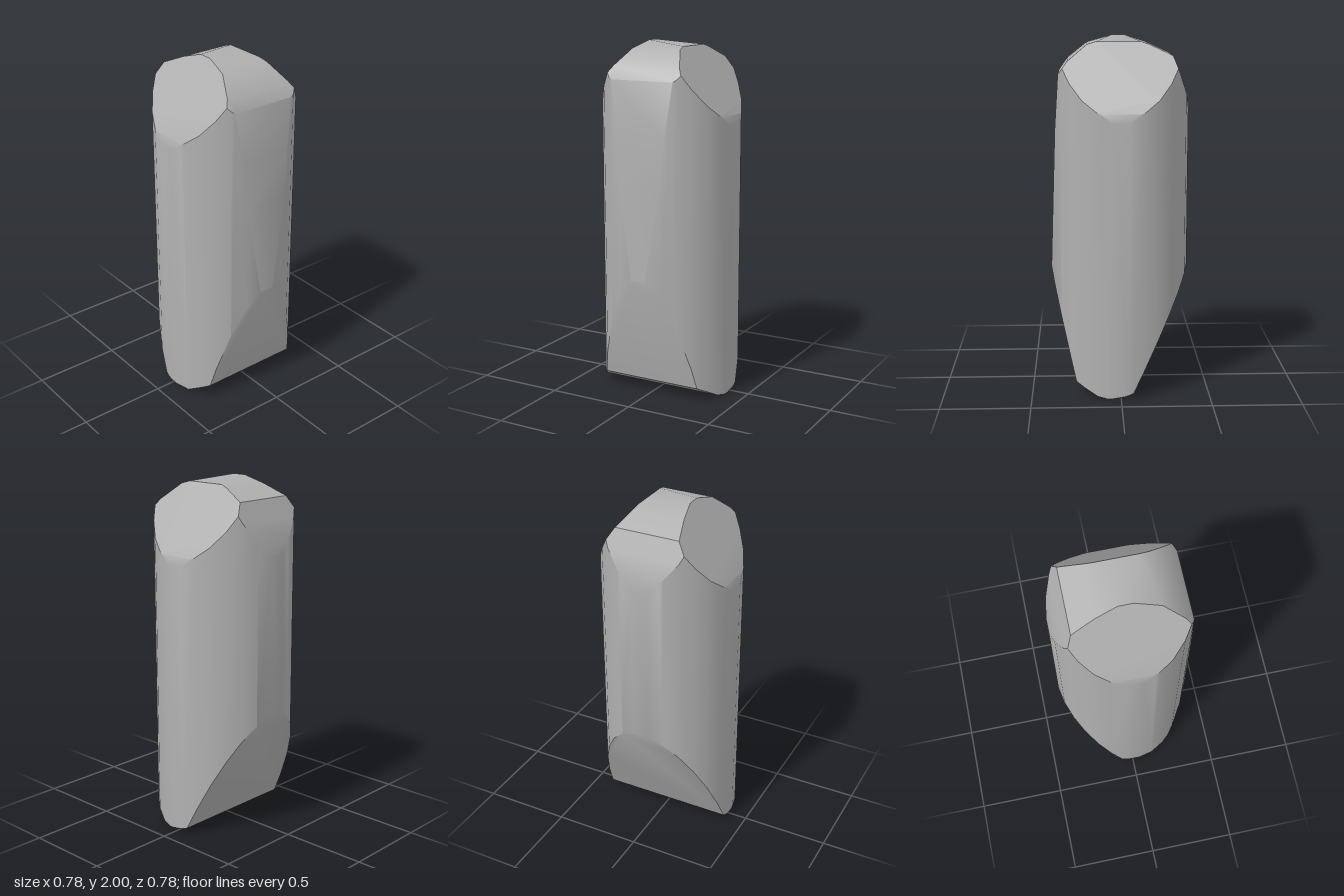
import * as THREE from 'three';
import { ConvexGeometry } from 'three/addons/geometries/ConvexGeometry.js';
import { toCreasedNormals } from 'three/addons/utils/BufferGeometryUtils.js';

// Half-spaces n.p <= d of a convex outline extruded along the remaining axis
function prismPlanes(outline, toVec) {
  const mid = outline.reduce((m, p) => [m[0] + p[0] / outline.length, m[1] + p[1] / outline.length], [0, 0]);
  return outline.map((a, i) => {
    const b = outline[(i + 1) % outline.length];
    let u = b[1] - a[1], v = a[0] - b[0];
    if (u * (a[0] - mid[0]) + v * (a[1] - mid[1]) < 0) { u = -u; v = -v; }
    const len = Math.hypot(u, v);
    return { n: toVec(u / len, v / len), d: (u * a[0] + v * a[1]) / len };
  });
}

// Corners of the solid enclosed by all half-spaces
function corners(planes) {
  const found = [];
  const bc = new THREE.Vector3(), ca = new THREE.Vector3(), ab = new THREE.Vector3();
  for (let i = 0; i < planes.length; i++)
    for (let j = i + 1; j < planes.length; j++)
      for (let k = j + 1; k < planes.length; k++) {
        const [A, B, C] = [planes[i], planes[j], planes[k]];
        bc.crossVectors(B.n, C.n);
        const det = A.n.dot(bc);
        if (Math.abs(det) < 1e-5) continue;
        ca.crossVectors(C.n, A.n);
        ab.crossVectors(A.n, B.n);
        const p = new THREE.Vector3().addScaledVector(bc, A.d).addScaledVector(ca, B.d)
          .addScaledVector(ab, C.d).divideScalar(det);
        if (planes.every(q => q.n.dot(p) <= q.d + 1e-6) && !found.some(f => f.distanceTo(p) < 1e-3)) found.push(p);
      }
  return found;
}

export function createModel() {
  const group = new THREE.Group();
  const grey = new THREE.MeshStandardMaterial({ color: 0xb0b0b0 });
  grey.name = 'grey';

  // Front outline (x, y): domed top, tapered keel at the bottom
  const front = [
    [-0.07, 0.035], [-0.02, 0.018], [0.07, 0.003], [0.13, 0.015], [0.25, 0.08], [0.39, 0.69],
    [0.36, 1.5], [0.34, 1.8], [0.29, 1.87], [0.18, 1.96], [0.04, 2.0], [-0.04, 2.0],
    [-0.16, 1.96], [-0.29, 1.9], [-0.375, 1.68], [-0.39, 1.6], [-0.39, 0.7],
  ];
  // Side outline (z, y): two slopes leave a ridge across the top
  const side = [
    [0.39, 0.015], [0.39, 1.55], [0.375, 1.6], [0.125, 2.0],
    [-0.14, 1.975], [-0.375, 1.6], [-0.39, 1.55], [-0.39, 0],
  ];
  // Plan outline (x, z): round column
  const plan = Array.from({ length: 28 }, (_, i) => {
    const a = (i + 0.5) / 28 * Math.PI * 2;
    return [0.392 * Math.cos(a), 0.392 * Math.sin(a)];
  });

  const planes = [
    ...prismPlanes(front, (u, v) => new THREE.Vector3(u, v, 0)),
    ...prismPlanes(side, (u, v) => new THREE.Vector3(0, v, u)),
    ...prismPlanes(plan, (u, v) => new THREE.Vector3(u, 0, v)),
  ];
  const body = new THREE.Mesh(toCreasedNormals(new ConvexGeometry(corners(planes)), 0.56), grey);
  body.name = 'wedgedColumn';
  group.add(body);
  return group;
}
